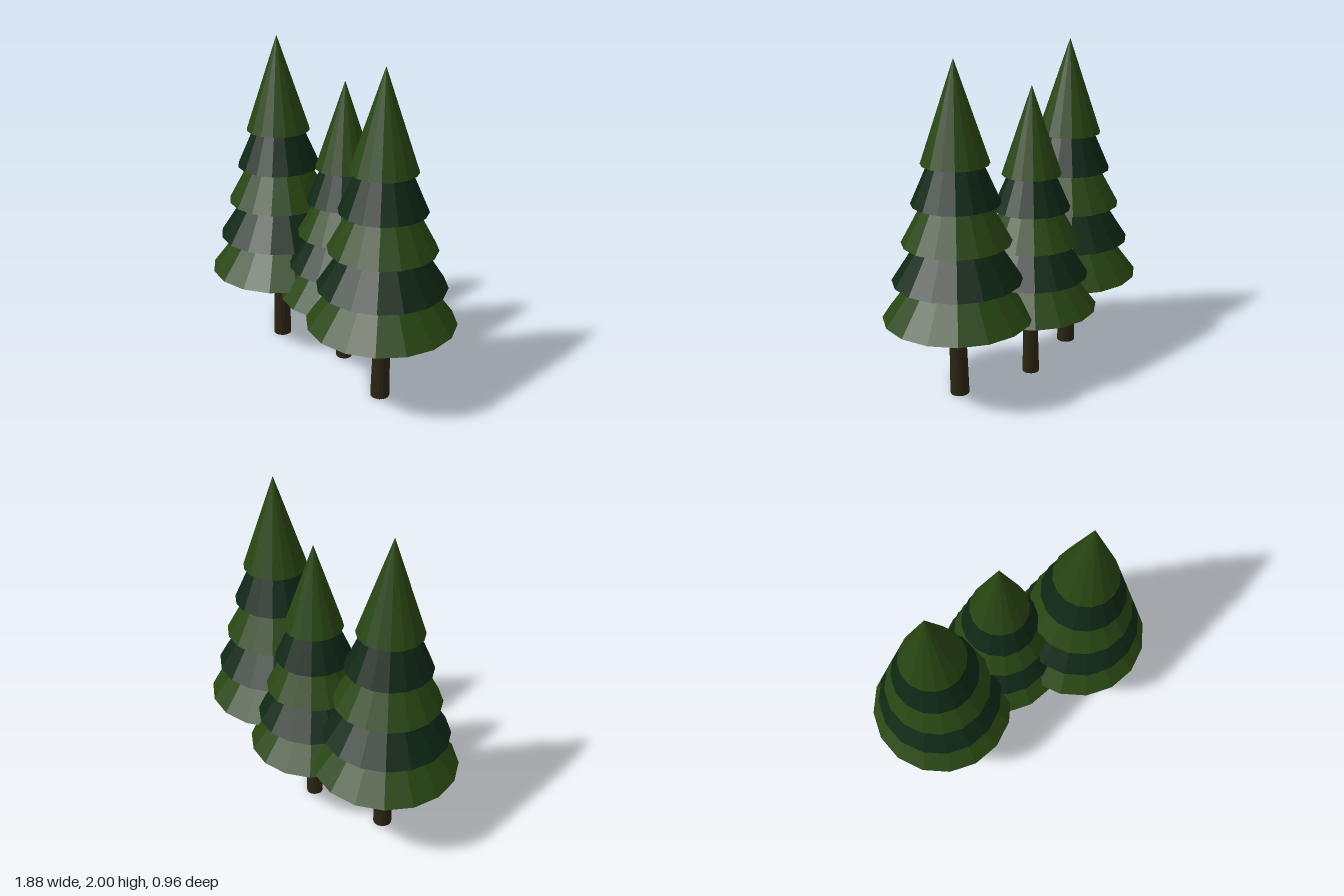
import * as THREE from 'three';

const SIDES = 16;

const leafGreen = new THREE.MeshStandardMaterial({ color: 0x284512 });
leafGreen.name = 'leafGreen';
const deepGreen = new THREE.MeshStandardMaterial({ color: 0x0f2715 });
deepGreen.name = 'deepGreen';
const barkBrown = new THREE.MeshStandardMaterial({ color: 0x2a2411 });
barkBrown.name = 'barkBrown';

// One normal per face gives the faceted low-poly look
function faceted(geometry) {
  const flat = geometry.toNonIndexed();
  flat.computeVertexNormals();
  return flat;
}

// A tree of full size: leaning tapered trunk and five overlapping cones
function createTree(name) {
  const tree = new THREE.Group();
  tree.name = name;

  const trunkHeight = 0.6;
  const trunkShape = new THREE.CylinderGeometry(0.046, 0.057, trunkHeight, SIDES);
  trunkShape.translate(0, trunkHeight / 2, 0);
  const trunk = new THREE.Mesh(faceted(trunkShape), barkBrown);
  trunk.name = 'trunk';
  trunk.position.y = 0.001;
  trunk.rotation.z = -0.02;
  tree.add(trunk);

  const tiers = 5, tierHeight = 0.583;
  for (let i = 0; i < tiers; i++) {
    const radius = 0.44 - i * 0.061;
    const base = 0.5 + i * 0.2293;
    const cone = new THREE.ConeGeometry(radius, tierHeight, SIDES);
    const tier = new THREE.Mesh(faceted(cone), i % 2 ? deepGreen : leafGreen);
    tier.name = `foliageTier${i + 1}`;
    tier.position.y = base + tierHeight / 2;
    tree.add(tier);
  }
  return tree;
}

export function createModel() {
  const model = new THREE.Group();
  model.name = 'pineTrees';

  // Two tall trees in front, a smaller one between and behind them
  const placements = [
    ['rightTree', -0.498, 0.041, 1],
    ['leftTree', 0.498, 0.041, 1],
    ['middleTree', 0, -0.086, 0.9],
  ];
  for (const [name, x, z, scale] of placements) {
    const tree = createTree(name);
    tree.position.set(x, 0, z);
    tree.scale.setScalar(scale);
    model.add(tree);
  }
  return model;
}
